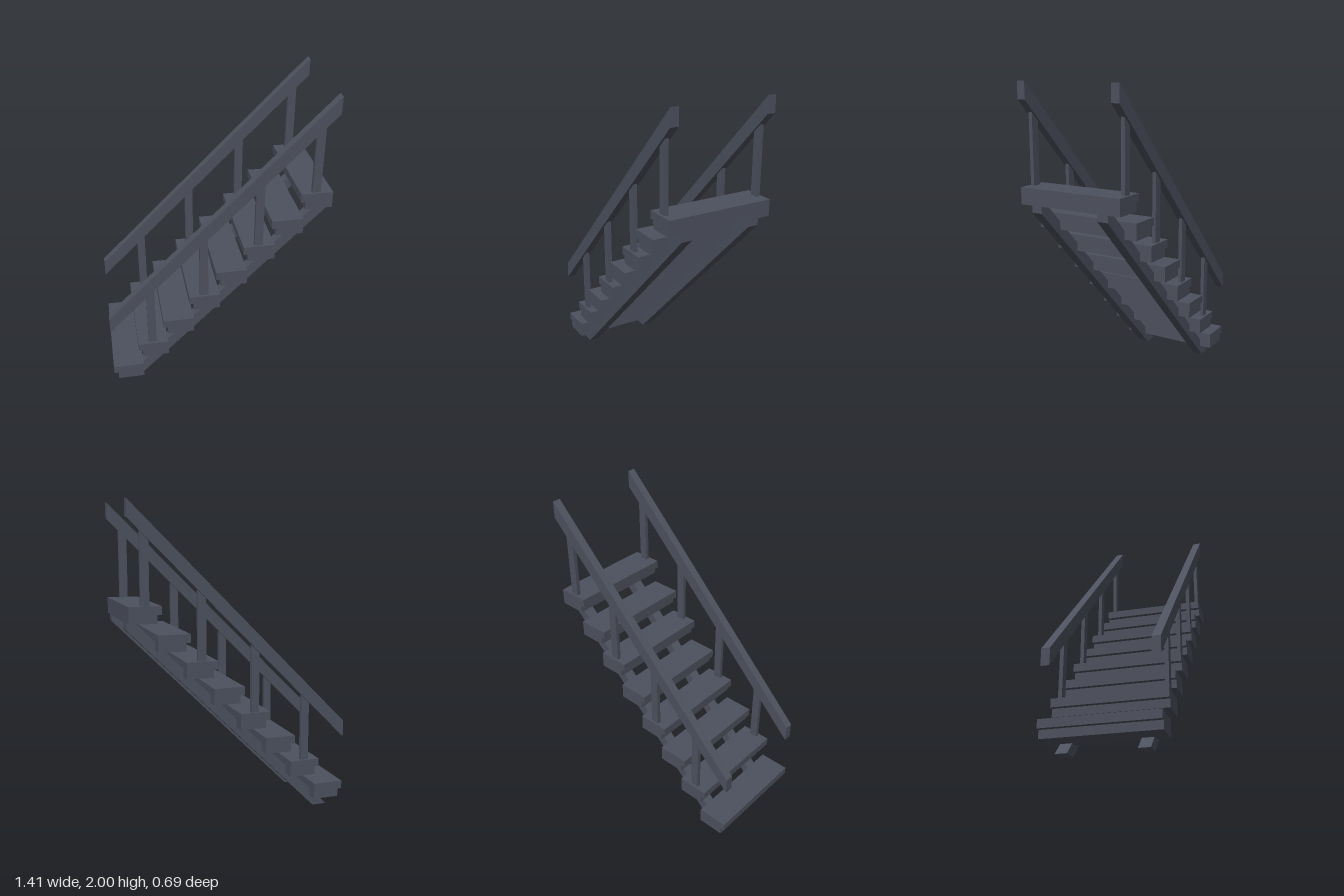
import * as THREE from 'three';

const HALF = 0.705; // half length of the flight
const STEPS = 8, RUN = 0.173, RISE = 0.1726;
const RAIL_BOTTOM = 1.188; // rail underside: y = x + RAIL_BOTTOM

export function createModel() {
  const group = new THREE.Group();
  group.name = 'staircase';
  const paint = new THREE.MeshStandardMaterial({ color: 0x4d515e });
  paint.name = 'slate grey';

  // Side profile in x/y, extruded from z0 to z1
  function slab(name, points, z0, z1) {
    const shape = new THREE.Shape(points.map(([x, y]) => new THREE.Vector2(x, y)));
    const geometry = new THREE.ExtrudeGeometry(shape, { depth: z1 - z0, bevelEnabled: false });
    geometry.translate(0, 0, z0);
    const mesh = new THREE.Mesh(geometry, paint);
    mesh.name = name;
    group.add(mesh);
  }

  // The same profile on both sides of the stair
  function pair(name, points, inner, outer) {
    slab(name + 'Front', points, inner, outer);
    slab(name + 'Back', points, -outer, -inner);
  }

  // Treads with an overhanging nosing
  for (let i = 0; i < STEPS; i++) {
    const x = -HALF + i * RUN, top = 0.177 + i * RISE;
    const back = x + 0.199, bottom = top - 0.103;
    slab('tread' + (i + 1), [
      [x, top], [x, top - 0.052], [x + 0.028, top - 0.052],
      [x + 0.028, bottom], [back, bottom], [back, top],
    ], -0.345, 0.345);
  }

  // Stringers, level on the floor and plumb at the top
  pair('stringer', [
    [-0.63, 0], [-0.535, 0], [HALF, 1.24], [HALF, 1.283], [0.653, 1.283],
  ], 0.195, 0.265);

  // Posts on every second tread, cut to the slope of the rail
  for (let i = 0; i < 4; i++) {
    const x0 = -0.461 + i * 2 * RUN, x1 = x0 + 0.053;
    const foot = 0.177 + (2 * i + 1) * RISE;
    pair('post' + (i + 1), [
      [x0, foot], [x1, foot], [x1, x1 + RAIL_BOTTOM], [x0, x0 + RAIL_BOTTOM],
    ], 0.306, 0.33);
  }

  // Handrails with plumb ends
  pair('handrail', [
    [-HALF, -HALF + RAIL_BOTTOM], [HALF, HALF + RAIL_BOTTOM],
    [HALF, 2], [-HALF, 2 - 2 * HALF],
  ], 0.292, 0.345);

  return group;
}
